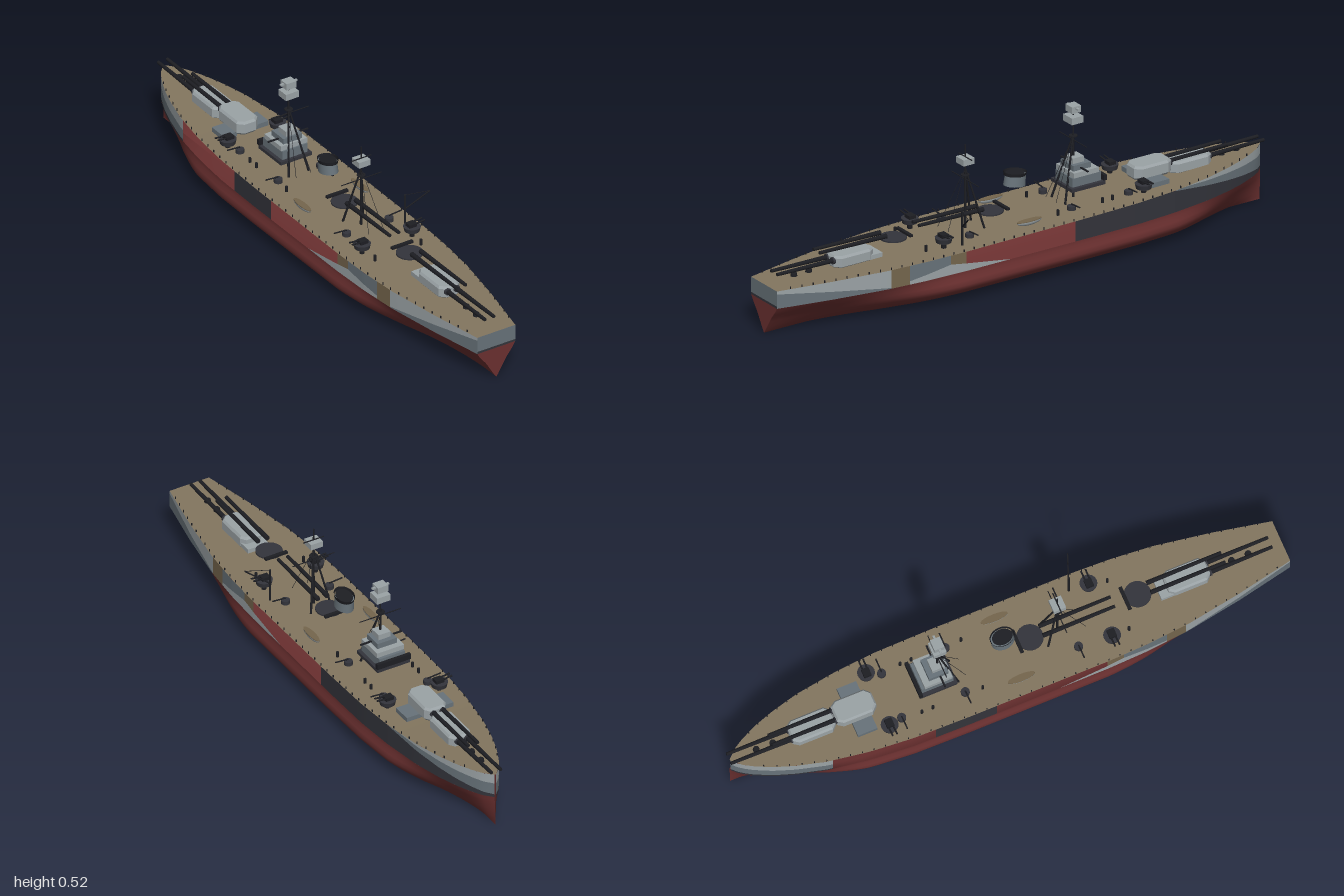
import * as THREE from 'three';

const CX = -0.01; // ship centreline; the crane overhangs to one side

export function createModel() {
  const mat = (name, color, double) => {
    const m = new THREE.MeshStandardMaterial({ color });
    m.name = name;
    if (double) m.side = THREE.DoubleSide;
    return m;
  };
  const red = mat('hullRed', 0x6b3030, true);
  const deckTan = mat('deckTan', 0x83765f, true);
  const light = mat('lightGrey', 0x9ba3a6);
  const blue = mat('blueGrey', 0x68737a);
  const dark = mat('darkSlate', 0x33343b);
  const black = mat('black', 0x1d1e23, true);
  const brown = mat('camouflageBrown', 0x75664d);

  const root = new THREE.Group();
  root.name = 'battleship';
  const ship = new THREE.Group();
  ship.name = 'ship';
  ship.position.x = CX;
  root.add(ship);

  // ---------- helpers ----------
  const add = (name, geo, m, x = 0, y = 0, z = 0, parent = ship) => {
    const mesh = new THREE.Mesh(geo, m);
    mesh.name = name;
    mesh.position.set(x, y, z);
    parent.add(mesh);
    return mesh;
  };
  const box = (name, m, x, y, z, w, h, d) => add(name, new THREE.BoxGeometry(w, h, d), m, x, y, z);
  const rod = (name, m, a, b, r = 0.003, r2 = r) => {
    const p = new THREE.Vector3(...a), q = new THREE.Vector3(...b);
    const mesh = add(name, new THREE.CylinderGeometry(r2, r, p.distanceTo(q), 8), m);
    mesh.position.copy(p).lerp(q, 0.5);
    mesh.quaternion.setFromUnitVectors(new THREE.Vector3(0, 1, 0), q.sub(p).normalize());
    return mesh;
  };
  const lerpTable = (t, z) => {
    let i = 1;
    while (i < t.length - 1 && z > t[i][0]) i++;
    const [z0, a] = t[i - 1], [z1, b] = t[i];
    return a + (b - a) * THREE.MathUtils.clamp((z - z0) / (z1 - z0), 0, 1);
  };
  const loft = (rows, flip) => {
    const n = rows[0].length, idx = [];
    for (let i = 0; i < rows.length - 1; i++) for (let j = 0; j < n - 1; j++) {
      const a = i * n + j, b = a + n, c = a + 1, d = b + 1;
      idx.push(...(flip ? [a, b, c, c, b, d] : [a, c, b, c, d, b]));
    }
    const g = new THREE.BufferGeometry();
    g.setAttribute('position', new THREE.Float32BufferAttribute(rows.flat(2), 3));
    g.setIndex(idx);
    g.computeVertexNormals();
    return g;
  };
  const range = (a, b, n) => Array.from({ length: n + 1 }, (_, i) => a + (b - a) * i / n);

  // ---------- hull lines ----------
  const beam = z => lerpTable([[-0.995, 0.003], [-0.97, 0.028], [-0.93, 0.052], [-0.87, 0.08], [-0.8, 0.104],
    [-0.7, 0.13], [-0.55, 0.153], [-0.4, 0.165], [-0.2, 0.168], [0.3, 0.168], [0.45, 0.163], [0.6, 0.15],
    [0.8, 0.117], [1, 0.076]], z);
  const deckY = z => lerpTable([[-1, 0.204], [-0.6, 0.192], [-0.14, 0.186], [0.4, 0.182], [1, 0.176]], z);
  const WATER = 0.113;
  const levels = [[0, 0, 0], [0.01, 0.66, 0.1], [0.03, 0.9, 0.26], [0.05, 1.03, 0.42], [0.066, 1.06, 0.55],
    [0.082, 1.04, 0.72], [0.098, 1, 0.88], [WATER, 1, 1]];
  const full = z => z > 0 ? 1 - THREE.MathUtils.smoothstep(z, 0.3, 1) : THREE.MathUtils.smoothstep(z, -1, -0.55);

  // underwater hull with side bulges
  const stations = range(-0.995, 1, 60);
  for (const s of [1, -1]) {
    add('lowerHull', loft(stations.map(z => levels.map(([y, mid, end]) =>
      [s * beam(z) * THREE.MathUtils.lerp(end, mid, full(z)), y, z])), s < 0), red);
  }
  // main deck
  add('deck', loft(stations.map(z => [[-beam(z), deckY(z), z], [beam(z), deckY(z), z]]), true), deckTan);
  // transom
  const below = new THREE.Shape();
  levels.forEach(([y, , e], i) => i ? below.lineTo(e * beam(1), y) : below.moveTo(0, y));
  [...levels].reverse().forEach(([y, , e]) => below.lineTo(-e * beam(1), y));
  add('transomLower', new THREE.ShapeGeometry(below), red, 0, 0, 1);
  const plate = (name, m, y0, y1) =>
    add(name, new THREE.PlaneGeometry(2 * beam(1), y1 - y0), m, 0, (y0 + y1) / 2, 1);
  plate('transomStripe', dark, WATER, 0.121);
  plate('transomUpper', blue, 0.121, deckY(1));

  // camouflaged side plating; the waist of the hull is open
  const lin = (z0, y0, z1, y1) => z => y0 + (y1 - y0) * THREE.MathUtils.clamp((z - z0) / (z1 - z0), 0, 1);
  const base = () => WATER;
  const panel = (name, m, s, z0, z1, lo, hi) => add(name, loft(range(z0, z1, 16).map(z =>
    [0, 1].map(k => [s * beam(z), k ? Math.max(lo(z), hi(z)) : lo(z), z])), s < 0), m);
  for (const s of [1, -1]) {
    const sternEdge = lin(1, 0.165, 0.59, 0.116);
    panel('sternBlueWedge', blue, s, 0.59, 1, base, sternEdge);
    panel('sternLightPlating', light, s, 0.59, 1, sternEdge, deckY);
    panel('brownStripeAft', brown, s, 0.52, 0.59, base, deckY);
    const split = lin(0.36, 0.15, 0.52, 0.125);
    panel('quarterLower', light, s, 0.36, 0.52, base, split);
    panel('quarterUpper', blue, s, 0.36, 0.52, split, deckY);
    const wedge = lin(0.36, 0.15, 0.12, WATER);
    panel('lightWedge', light, s, 0.12, 0.36, base, wedge);
    panel('brownStripeFore', brown, s, 0.3, 0.36, wedge, deckY);
    // bow bands
    const d = lin(-0.99, 0.124, -0.55, s > 0 ? 0.19 : 0.118);
    const b = lin(-0.99, 0.168, s > 0 ? -0.6 : -0.5, s > 0 ? 0.192 : 0.15);
    const bowEnd = s > 0 ? -0.55 : -0.68;
    panel('bowDark', dark, s, -0.995, bowEnd, base, d);
    panel('bowBlue', blue, s, -0.995, bowEnd, d, z => Math.min(b(z), deckY(z)));
    panel('bowLight', light, s, -0.995, bowEnd, z => Math.min(Math.max(b(z), d(z)), deckY(z)), deckY);
    if (s > 0) panel('darkSide', dark, s, -0.55, -0.14, base, deckY);
    else panel('darkSide', dark, s, -0.32, -0.1, base, deckY);
    // deck-edge stanchions
    for (const z of range(-0.9, 0.95, 46))
      box('stanchion', black, s * (beam(z) - 0.003), deckY(z) + 0.004, z, 0.003, 0.009, 0.003);
  }

  // ---------- main turrets ----------
  const guns = (y, z0, z1) => {
    for (const x of [-0.018, 0.018]) rod('mainGun', black, [x, y, z0], [x, y + 0.004, z1], 0.0085, 0.006);
  };
  const turret = (z0, z1, y, h, dir) => {
    const w = 0.042, l = (z1 - z0) / 2, c = 0.02, p = new THREE.Shape();
    [[-w + c, -l], [w - c, -l], [w, -l + c], [w, l - c], [w - c * 0.7, l], [-w + c * 0.7, l], [-w, l - c], [-w, -l + c]]
      .forEach(([x, v], i) => i ? p.lineTo(x, v) : p.moveTo(x, v));
    const g = new THREE.ExtrudeGeometry(p, { depth: h - 0.008, bevelEnabled: true, bevelThickness: 0.008, bevelSize: 0.006, bevelOffset: -0.006, bevelSegments: 1 });
    g.rotateX(-Math.PI / 2);
    add('turret', g, light, 0, y, (z0 + z1) / 2);
    add('barbette', new THREE.CylinderGeometry(0.04, 0.04, 0.03, 24), blue, 0, y - 0.008, (z0 + z1) / 2);
    for (const x of [-0.018, 0.018]) {
      const ring = add('gunCollar', new THREE.CylinderGeometry(0.012, 0.012, 0.008, 16), dark, x, y + h * 0.55, dir > 0 ? z1 : z0);
      ring.rotation.x = Math.PI / 2;
    }
  };
  turret(-0.78, -0.62, 0.195, 0.038, -1);
  guns(0.216, -0.77, -1);
  turret(-0.62, -0.475, 0.208, 0.042, -1);
  guns(0.235, -0.61, -0.85);
  turret(0.58, 0.735, 0.182, 0.038, 1);
  guns(0.203, 0.72, 0.96);
  box('turretApron', light, 0, 0.187, 0.6, 0.08, 0.018, 0.1);
  for (const s of [1, -1]) box('forwardDeckhouse', blue, s * 0.063, 0.198, -0.535, 0.055, 0.02, 0.07);
  // open turret floors with training bars and guns
  for (const [z, y, g0, g1] of [[0.09, 0.222, 0.13, 0.39], [0.48, 0.22, 0.52, 0.79]]) {
    add('turretFloor', new THREE.CylinderGeometry(0.046, 0.046, 0.005, 28), dark, 0, y, z);
    box('turretRearBar', black, 0, y + 0.008, z - 0.045, 0.085, 0.008, 0.012);
    guns(y + 0.02, g0, g1);
  }

  // ---------- secondary guns ----------
  for (const s of [1, -1]) {
    for (const z of [-0.46, 0.345]) {
      add('secondaryMount', new THREE.CylinderGeometry(0.03, 0.026, 0.017, 18), dark, s * 0.1, 0.214, z);
      box('gunShield', black, s * 0.097, 0.229, z, 0.03, 0.012, 0.026);
      for (const k of [-0.008, 0.008]) rod('secondaryGun', black, [s * 0.1, 0.23, z + k], [s * 0.145, 0.235, z + k], 0.003);
      rod('mountPedestal', black, [s * 0.1, 0.184, z], [s * 0.1, 0.207, z], 0.009);
    }
    for (const z of [-0.41, -0.18, 0.23]) {
      add('lightGunMount', new THREE.CylinderGeometry(0.015, 0.015, 0.014, 14), dark, s * 0.085, 0.197, z);
      rod('lightGun', black, [s * 0.085, 0.21, z], [s * 0.135, 0.214, z], 0.0025);
    }
    for (const z of [-0.34, -0.3, 0.41, -0.12])
      add('deckVent', new THREE.CylinderGeometry(0.005, 0.005, 0.022, 8), black, s * 0.092, 0.195, z);
    // ship's boats
    const hull = new THREE.SphereGeometry(1, 16, 8, 0, Math.PI * 2, Math.PI / 2, Math.PI / 2);
    hull.scale(0.013, 0.016, 0.05);
    add('boat', hull, light, s * 0.115, 0.207, 0.01);
    const cover = new THREE.CylinderGeometry(1, 1, 0.003, 20);
    cover.scale(0.0125, 1, 0.049);
    add('boatCover', cover, brown, s * 0.115, 0.208, 0.01);
  }
  for (const z of [-0.9, -0.84, 0.82, 0.88]) // capstans
    add('capstan', new THREE.CylinderGeometry(0.01, 0.012, 0.012, 12), black, 0, deckY(z) + 0.005, z);

  // ---------- bridge tower ----------
  box('bridgeBase', dark, 0, 0.243, -0.265, 0.125, 0.012, 0.135);
  box('bridgeLower', blue, 0, 0.265, -0.265, 0.1, 0.034, 0.115);
  box('bridgeRoof', light, 0, 0.291, -0.262, 0.105, 0.018, 0.1);
  box('bridgeUpper', blue, 0, 0.31, -0.255, 0.075, 0.02, 0.07);
  box('bridgeTop', light, 0, 0.33, -0.25, 0.046, 0.02, 0.045);
  box('bridgeWing', black, 0, 0.262, -0.33, 0.13, 0.02, 0.012);
  box('rangefinder', black, 0, 0.308, -0.25, 0.16, 0.004, 0.006);

  // ---------- funnel ----------
  const oval = (name, m, r0, r1, h, y, open) => {
    const f = add(name, new THREE.CylinderGeometry(r0, r1, h, 28, 1, open), m, 0, y, -0.01);
    f.scale.z = 1.3;
    f.rotation.x = -0.12;
  };
  oval('funnel', blue, 0.029, 0.031, 0.04, 0.312, false);
  oval('funnelCap', black, 0.033, 0.031, 0.012, 0.334, true);
  oval('funnelMouth', black, 0.027, 0.027, 0.003, 0.334, false);

  // ---------- masts ----------
  const mast = (z, foot, apex, top, back) => {
    rod('mastPole', black, [0, foot, z], [0, top, z], 0.005, 0.0025);
    for (const s of [1, -1]) rod('mastLeg', black, [s * 0.04, foot, z + back], [0, apex, z], 0.004, 0.003);
  };
  mast(-0.245, 0.19, 0.415, 0.515, 0.06);
  mast(0.19, 0.184, 0.4, 0.485, -0.05);
  box('foreTop', light, 0, 0.512, -0.245, 0.04, 0.024, 0.036);
  box('foreTopRangefinder', light, 0, 0.516, -0.245, 0.066, 0.006, 0.008);
  box('foreSpottingTop', light, 0, 0.475, -0.245, 0.052, 0.024, 0.046);
  box('mainSpottingTop', light, 0, 0.429, 0.19, 0.046, 0.022, 0.044);
  box('mainTopRail', black, 0, 0.441, 0.19, 0.08, 0.002, 0.004);
  for (const [z, y] of [[-0.245, 0.397], [0.19, 0.36]]) rod('yard', black, [-0.08, y, z], [0.08, y, z], 0.0017);
  for (const [z, y] of [[-0.245, 0.412], [0.19, 0.376]])
    add('mastPlatform', new THREE.CylinderGeometry(0.015, 0.015, 0.003, 12), black, 0, y, z);
  for (const [z, y] of [[-0.245, 0.41], [0.19, 0.4]]) for (const s of [1, -1])
    rod('stay', black, [0, y, z], [s * 0.03, 0.2, z + 0.09], 0.0008);

  // ---------- boat crane ----------
  rod('cranePost', black, [0.115, 0.183, 0.28], [0.115, 0.305, 0.28], 0.004);
  rod('craneBoom', black, [0.115, 0.25, 0.28], [0.195, 0.31, 0.31], 0.0025);
  rod('craneCable', black, [0.115, 0.304, 0.28], [0.195, 0.31, 0.31], 0.001);
  return root;
}
